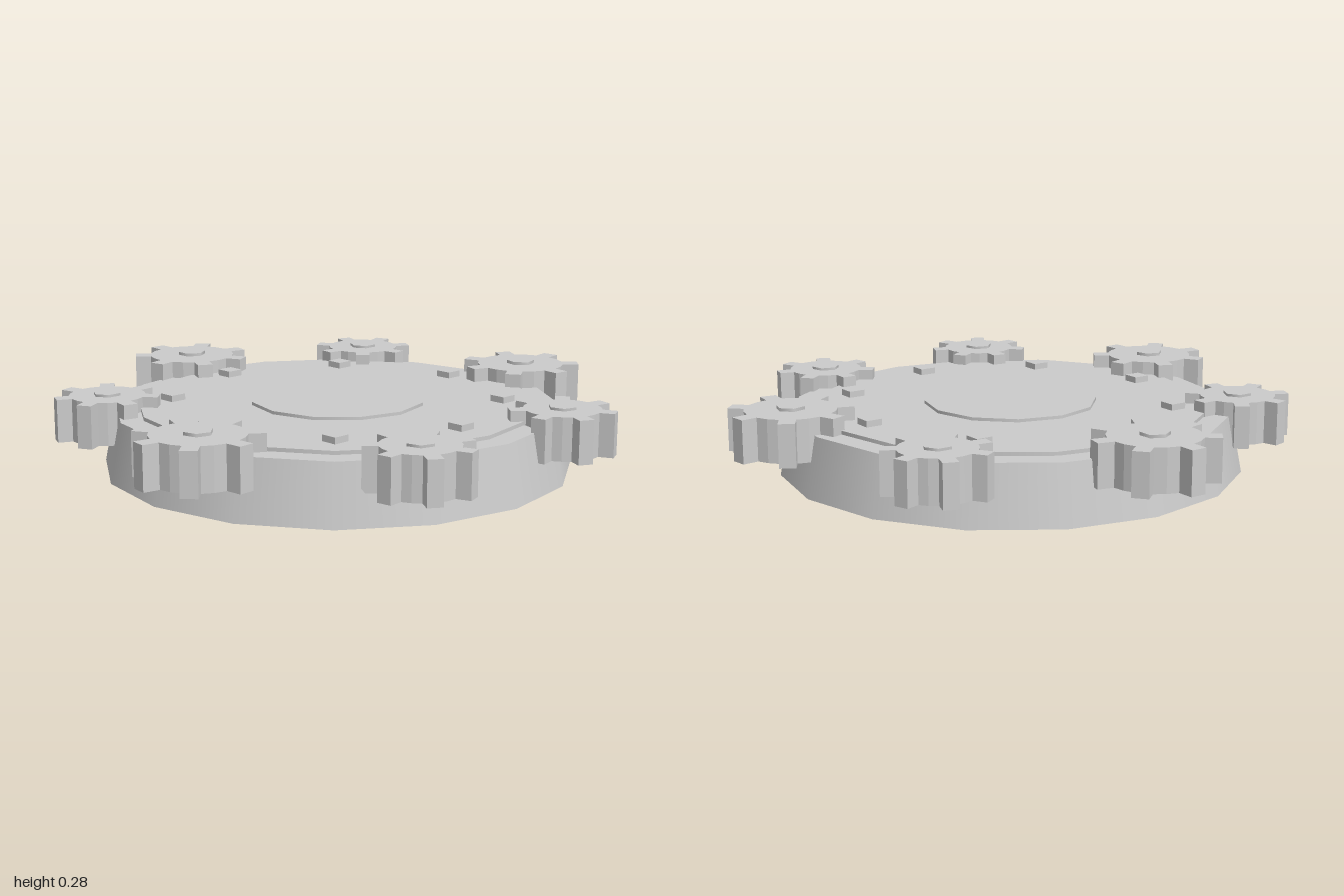
import * as THREE from 'three';

const material = new THREE.MeshStandardMaterial({ color: 0xcccccc });
const CX = 0.05; // the disc sits slightly off centre

function addMesh(parent, name, geometry, x, y, z) {
  const mesh = new THREE.Mesh(geometry, material);
  mesh.name = name;
  mesh.position.set(x, y, z);
  parent.add(mesh);
  return mesh;
}

// Solid disc standing on height y
function addDisc(parent, name, rTop, rBottom, y, height, sides) {
  addMesh(parent, name, new THREE.CylinderGeometry(rTop, rBottom, height, sides), CX, y + height / 2, 0);
}

// Seven-toothed wheel outline with straight-sided teeth
function gearGeometry(tip, root, toothWidth, depth) {
  const teeth = 7;
  const points = [];
  const add = (r, a) => points.push(new THREE.Vector2(r * Math.cos(a), r * Math.sin(a)));
  const rootHalf = Math.asin(toothWidth / 2 / root);
  const tipHalf = Math.asin(toothWidth / 2 / tip);
  for (let i = 0; i < teeth; i++) {
    const a = (i / teeth) * Math.PI * 2;
    add(root, a - rootHalf);
    add(tip, a - tipHalf);
    add(tip, a + tipHalf);
    add(root, a + rootHalf);
    add(root, a + Math.PI / teeth);
  }
  const geometry = new THREE.ExtrudeGeometry(new THREE.Shape(points), { depth, bevelEnabled: false });
  return geometry.rotateX(-Math.PI / 2);
}

export function createModel() {
  const model = new THREE.Group();
  model.name = 'gearedDisc';

  // Tapered base and the stepped plates on top
  addDisc(model, 'base', 0.78, 0.82, 0, 0.207, 16);
  addDisc(model, 'topPlate', 0.7, 0.7, 0.19, 0.03, 16);
  addDisc(model, 'centreDisc', 0.306, 0.306, 0.2, 0.031, 12);

  // Ring of square studs
  const studGeometry = new THREE.BoxGeometry(0.06, 0.04, 0.06);
  for (let i = 0; i < 8; i++) {
    const a = (i / 8) * Math.PI * 2;
    addMesh(model, 'stud', studGeometry, CX + 0.577 * Math.cos(a), 0.222, -0.577 * Math.sin(a));
  }

  // Seven gears around the rim: large or small, turned by the given degrees
  const large = { geometry: gearGeometry(0.215, 0.158, 0.057, 0.15), y: 0.118, top: 0.279 };
  const small = { geometry: gearGeometry(0.183, 0.132, 0.052, 0.15), y: 0.107, top: 0.266 };
  const gears = [
    { size: large, turn: 25.7, hub: 0 },
    { size: small, turn: -11, hub: 30 },
    { size: large, turn: 4, hub: 15 },
    { size: small, turn: 19, hub: 15 },
    { size: small, turn: 25.7, hub: 15 },
    { size: large, turn: -6, hub: 45 },
    { size: small, turn: 6, hub: 30 },
  ];
  const hubGeometry = new THREE.CylinderGeometry(0.05, 0.05, 0.03, 6).rotateY(Math.PI / 2);
  gears.forEach(({ size, turn, hub }, i) => {
    const a = Math.PI + (i / 7) * Math.PI * 2;
    const group = new THREE.Group();
    group.name = 'gear';
    group.position.set(CX + 0.8 * Math.cos(a), 0, -0.8 * Math.sin(a));
    addMesh(group, 'gearWheel', size.geometry, 0, size.y, 0).rotation.y = THREE.MathUtils.degToRad(turn);
    addMesh(group, 'gearHub', hubGeometry, 0, size.top - 0.015, 0).rotation.y = THREE.MathUtils.degToRad(hub);
    model.add(group);
  });

  return model;
}
